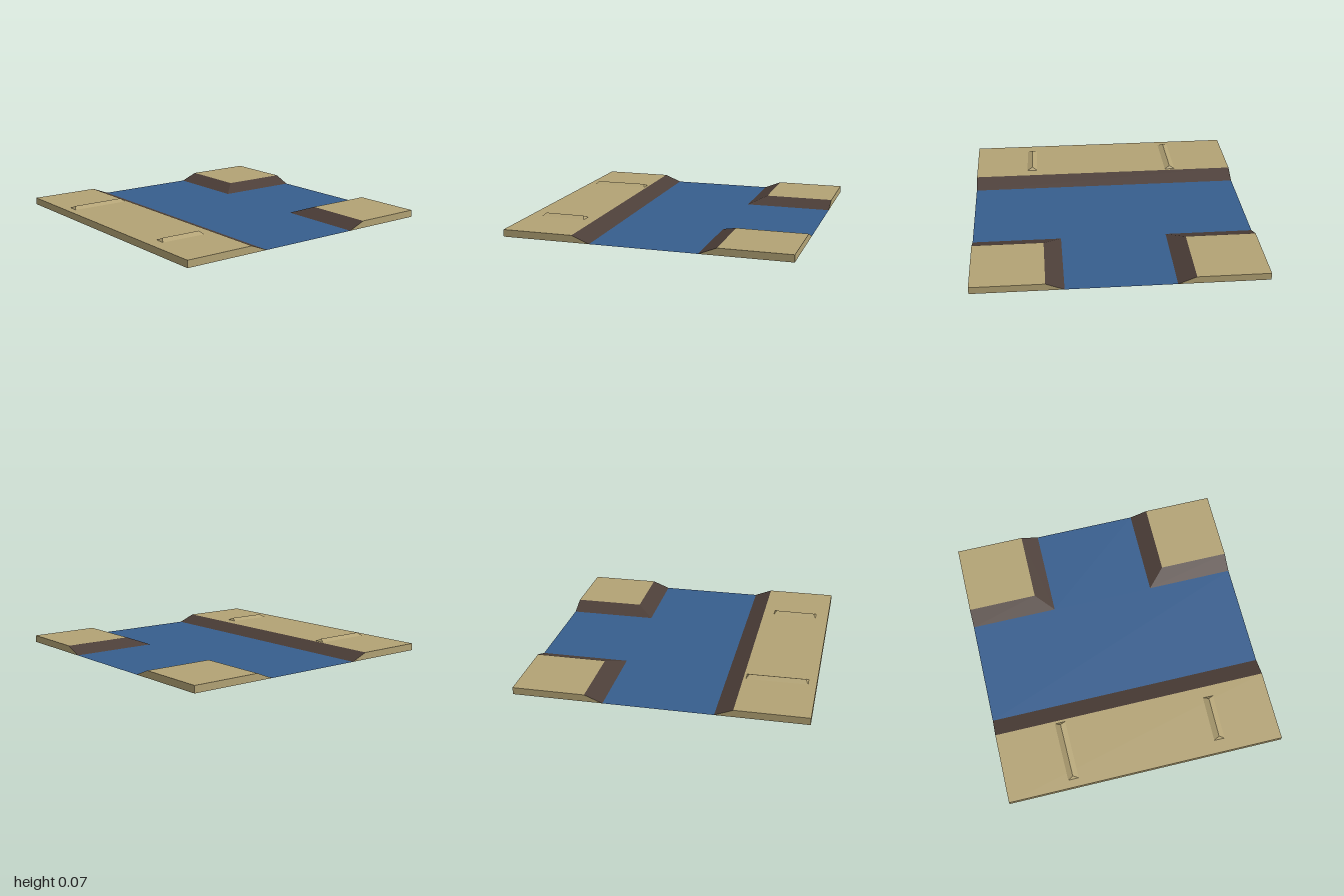
import * as THREE from 'three';

const material = (name, color) =>
  new THREE.MeshStandardMaterial({ name, color, side: THREE.DoubleSide, flatShading: true });

const H = 0.05;      // height of the ground
const TOE = 0.375;   // foot of the banks
const CREST = 0.5;   // top edge of the banks

// Mesh from flat convex faces, each a loop of corners turned to face its hint direction
function faces(name, mat, list) {
  const pos = [];
  for (const { loop, out } of list) {
    const p = loop.map((c) => new THREE.Vector3(...c));
    const n = p[1].clone().sub(p[0]).cross(p[2].clone().sub(p[0]));
    if (n.dot(new THREE.Vector3(...out)) < 0) p.reverse();
    for (let i = 1; i < p.length - 1; i++)
      for (const v of [p[0], p[i], p[i + 1]]) pos.push(v.x, v.y, v.z);
  }
  const g = new THREE.BufferGeometry();
  g.setAttribute('position', new THREE.Float32BufferAttribute(pos, 3));
  g.computeVertexNormals();
  const mesh = new THREE.Mesh(g, mat);
  mesh.name = name;
  return mesh;
}

const UP = [0, 1, 0];

export function createModel() {
  const sand = material('sand', 0xb3a375);
  const earth = material('dark earth', 0x4c3e38);
  const water = material('water', 0x375e8e);
  const model = new THREE.Group();
  model.name = 'riverJunctionTile';

  // Water: straight channel and side branch
  model.add(faces('water', water, [
    { loop: [[-TOE, 0, -1], [-TOE, 0, 1], [TOE, 0, 1], [TOE, 0, -1]], out: UP },
    { loop: [[TOE, 0, -TOE], [TOE, 0, TOE], [1, 0, TOE], [1, 0, -TOE]], out: UP },
  ]));

  // Straight shore: ground top, outer wall, end walls and bank
  const shore = [
    { loop: [[-1, H, -1], [-1, H, 1], [-CREST, H, 1], [-CREST, H, -1]], out: UP },
    { loop: [[-1, 0, -1], [-1, 0, 1], [-1, H, 1], [-1, H, -1]], out: [-1, 0, 0] },
  ];
  for (const s of [-1, 1])
    shore.push({ loop: [[-1, 0, s], [-TOE, 0, s], [-CREST, H, s], [-1, H, s]], out: [0, 0, s] });
  model.add(faces('straightShore', sand, shore));
  model.add(faces('straightBank', earth, [
    { loop: [[-CREST, H, -1], [-CREST, H, 1], [-TOE, 0, 1], [-TOE, 0, -1]], out: UP },
  ]));

  // Two corner shores with mitred banks, mirrored front to back
  for (const s of [-1, 1]) {
    const side = s > 0 ? 'front' : 'back';
    model.add(faces(side + 'CornerShore', sand, [
      { loop: [[CREST, H, s * CREST], [1, H, s * CREST], [1, H, s], [CREST, H, s]], out: UP },
      { loop: [[TOE, 0, s], [1, 0, s], [1, H, s], [CREST, H, s]], out: [0, 0, s] },
      { loop: [[1, 0, s * TOE], [1, 0, s], [1, H, s], [1, H, s * CREST]], out: [1, 0, 0] },
    ]));
    model.add(faces(side + 'CornerBank', earth, [
      { loop: [[TOE, 0, s], [TOE, 0, s * TOE], [CREST, H, s * CREST], [CREST, H, s]], out: UP },
      { loop: [[TOE, 0, s * TOE], [1, 0, s * TOE], [1, H, s * CREST], [CREST, H, s * CREST]], out: UP },
    ]));
  }

  // Low sand ridges with hipped ends
  const ridge = (name, x, z, half, turn) => {
    const w = 0.038, r = half - 0.019, h = 0.019;
    const a = [-half, 0, -w], b = [half, 0, -w], c = [half, 0, w], d = [-half, 0, w];
    const e = [-r, h, 0], f = [r, h, 0];
    const mesh = faces(name, sand, [
      { loop: [a, b, f, e], out: UP },
      { loop: [d, c, f, e], out: UP },
      { loop: [a, d, e], out: UP },
      { loop: [b, c, f], out: UP },
    ]);
    mesh.position.set(x, H, z);
    mesh.rotation.y = turn;
    model.add(mesh);
  };
  ridge('backRidge', -0.73, -0.525, 0.212, 0.01);
  ridge('frontRidge', -0.743, 0.563, 0.163, -0.015);

  return model;
}
